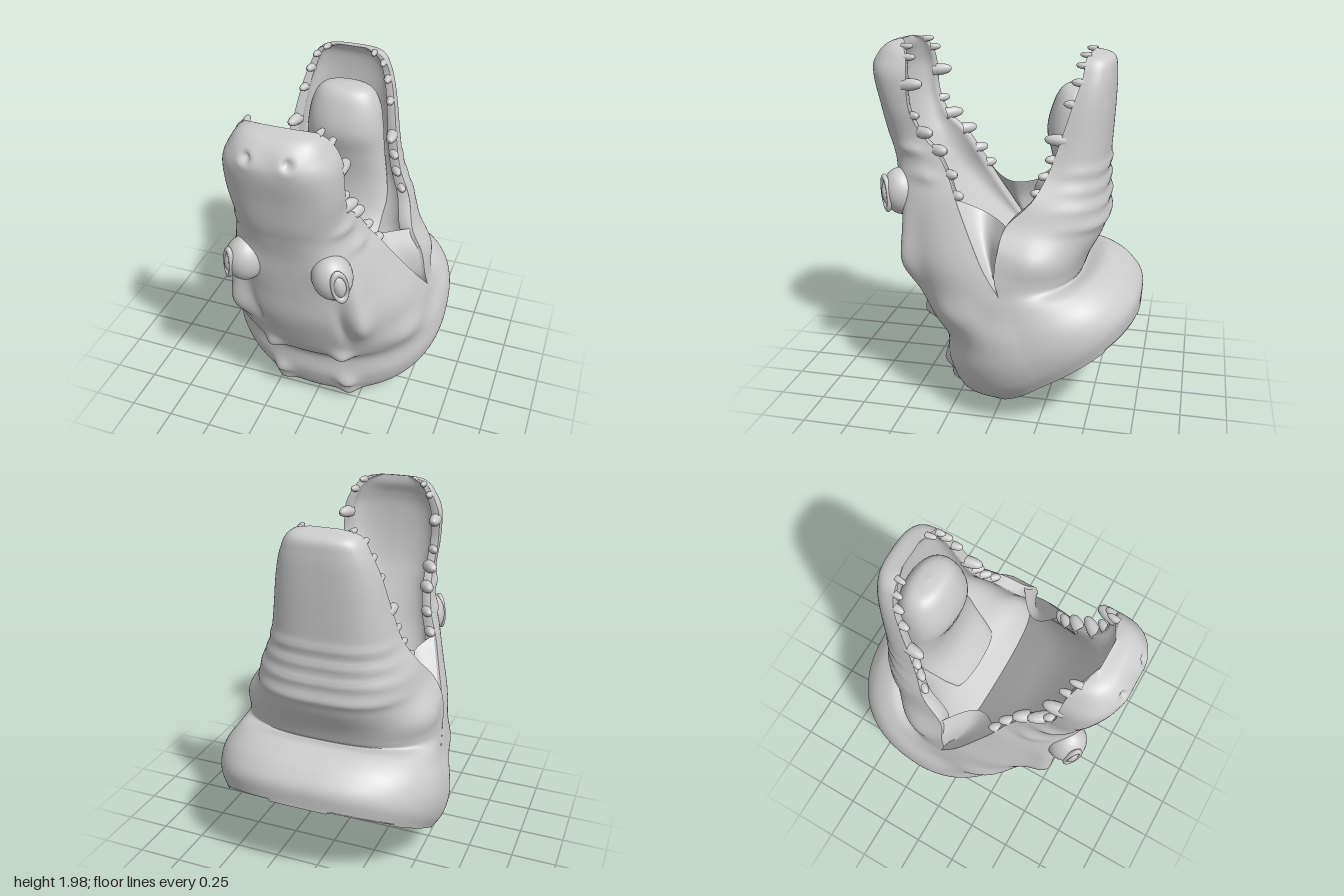
import * as THREE from 'three';

const skin = new THREE.MeshStandardMaterial({ color: 0xcccccc, side: THREE.DoubleSide });
const V = (x, y, z) => new THREE.Vector3(x, y, z);
// the snout leans slightly sideways
const lean = y => -0.045 * THREE.MathUtils.smoothstep(y, 0.6, 1.5);
const spow = (c, e) => Math.sign(c) * Math.abs(c) ** e;

function add(parent, name, geo, x = 0, y = 0, z = 0) {
  const m = new THREE.Mesh(geo, skin);
  m.name = name;
  m.position.set(x, y, z);
  parent.add(m);
  return m;
}

// smooth grid surface, fn(u, v, i, j) returns a point
function grid(nu, nv, fn) {
  const pos = [], idx = [];
  for (let j = 0; j <= nv; j++) for (let i = 0; i <= nu; i++) pos.push(...fn(i / nu, j / nv, i, j).toArray());
  for (let j = 0; j < nv; j++) for (let i = 0; i < nu; i++) {
    const a = j * (nu + 1) + i, b = a + nu + 1;
    idx.push(a, b, a + 1, a + 1, b, b + 1);
  }
  const g = new THREE.BufferGeometry();
  g.setAttribute('position', new THREE.Float32BufferAttribute(pos, 3));
  g.setIndex(idx);
  g.computeVertexNormals();
  return g;
}

// sections: half width, edge z y, outer z y, lining z y (lining stops at the throat)
const upper = [
  [.08, .60, 1.99, .60, 1.99, .60, 1.99], [.185, .56, 1.965, .69, 1.965, .60, 1.94],
  [.245, .53, 1.9, .75, 1.89, .62, 1.88], [.285, .52, 1.8, .765, 1.81, .63, 1.8],
  [.29, .51, 1.65, .73, 1.65, .62, 1.65], [.285, .45, 1.52, .70, 1.5, .59, 1.5],
  [.305, .35, 1.42, .67, 1.4, .55, 1.4], [.34, .28, 1.3, .64, 1.28, .5, 1.3],
  [.39, .23, 1.2, .62, 1.14, .42, 1.15], [.45, .15, 1.05, .60, 1.0, .3, 1.0],
  [.52, .05, .88, .575, .83, .15, .85], [.56, -.05, .75, .52, .67, .02, .72],
  [.585, -.12, .65, .445, .5], [.63, -.17, .54, .355, .385],
  [.645, -.20, .43, .345, .22], [.625, -.24, .34, .27, .06], [.58, -.27, .27, .10, .01]];
const lower = [
  [.08, -.43, 1.95, -.43, 1.95, -.43, 1.95], [.18, -.41, 1.92, -.53, 1.92, -.46, 1.9],
  [.23, -.40, 1.83, -.55, 1.84, -.47, 1.82], [.27, -.36, 1.7, -.55, 1.7, -.47, 1.7],
  [.31, -.30, 1.5, -.54, 1.5, -.47, 1.5], [.35, -.25, 1.35, -.53, 1.3, -.44, 1.32],
  [.42, -.18, 1.22, -.54, 1.1, -.38, 1.15], [.47, -.06, 1.1, -.52, 1.0, -.28, 1.0],
  [.53, -.03, .98, -.46, .88, -.18, .88], [.55, -.02, .85, -.43, .80, -.08, .8],
  [.56, -.05, .75, -.43, .78, .02, .72],
  [.585, -.12, .65, -.53, .81], [.63, -.17, .54, -.62, .78],
  [.645, -.20, .43, -.69, .73], [.625, -.24, .34, -.74, .66], [.58, -.27, .27, -.74, .55]];

// swellings and pits mirrored on the hide: x y z, radii, height
const swellings = [
  [.2, .49, .43, .055, .055, .1, .045], [.2, .2, .33, .055, .05, .1, .04], [.2, .1, .28, .055, .04, .1, .035],
  [.31, 1.02, .5, .05, .14, .12, .035], [.33, .83, .48, .06, .14, .14, .06], [.25, .8, .52, .03, .14, .14, -.025],
  [.5, .6, .2, .2, .09, .16, .035], [.25, 1.2, .6, .1, .12, .12, .03],
  [.34, 1.3, .4, .1, .035, .1, .015], [.3, 1.43, .5, .1, .035, .1, .015],
  [.1, 1.89, .75, .024, .024, .08, -.03], [.1, 1.89, .75, .055, .05, .08, .014]];
// wrinkles and back edge bumps of the throat
const wrinkles = [[.1, 1.36, -.53, .4, .025, .2, .012], [.1, 1.27, -.53, .4, .025, .2, .014],
  [.1, 1.18, -.53, .4, .025, .2, .014], [.1, 1.08, -.53, .4, .03, .2, .014],
  [.45, .92, -.2, .15, .1, .15, .03]];

const spline = pts => new THREE.CatmullRomCurve3(pts, false, 'catmullrom', 0.5);
const edgeOf = rows => spline(rows.map(r => V(r[0], r[2], r[1])));

// outer hide plus mouth lining of one jaw
function jaw(parent, name, rows, e0, e1, bumps, torn) {
  const edge = edgeOf(rows), outer = spline(rows.map(r => V(0, r[4], r[3])));
  const mouth = rows.filter(r => r.length > 5);
  const inEdge = edgeOf(mouth), inner = spline(mouth.map(r => V(0, r[6], r[5])));
  const N = (rows.length - 1) * 9;
  add(parent, name + 'Hide', grid(108, N, (u, v, i, j) => {
    const E = edge.getPoint(v), O = outer.getPoint(v), a = Math.PI * u;
    const e = THREE.MathUtils.lerp(e0, e1, v), s = Math.max(0, Math.sin(a)) ** e;
    const p = E.clone().lerp(O, s), off = lean(p.y), c = spow(Math.cos(a), e);
    const dir = O.sub(E).setX(0).normalize().multiplyScalar(s).setX(c).normalize();
    p.x = E.x * c;
    let h = 0;
    for (const [x, y, z, rx, ry, rz, k] of bumps)
      h += k * Math.exp(-(((Math.abs(p.x) - x) / rx) ** 2) - ((p.y - y) / ry) ** 2 - ((p.z - z) / rz) ** 2);
    p.addScaledVector(dir, h * Math.min(1, s * 3));
    p.x += off;
    // torn rim at the back of the neck
    if (torn && j === N) {
      const k = [0, 0, 0, .04, .09, .02, 0, 0, .05, .09, .03, 0, 0, 0][Math.floor(u * 13.99)];
      p.add(V(0, k, k * .25));
    }
    return p;
  }));
  add(parent, name + 'Lining', grid(42, (mouth.length - 1) * 6, (u, v, i) => {
    const E = inEdge.getPoint(v), I = inner.getPoint(v);
    const rim = i === 0 || i === 42, a = Math.PI * THREE.MathUtils.clamp((i - 1) / 40, 0, 1);
    const p = E.clone().lerp(I, rim ? 0 : Math.max(0, Math.sin(a)) ** 0.7);
    p.x = lean(p.y) + E.x * (rim ? Math.cos(a) : .84 * spow(Math.cos(a), .8));
    return p;
  }));
}

// teeth: [section position, length, radius]
const toothShape = new THREE.LatheGeometry(
  [[1, -.3], [1, .15], [.9, .5], [.65, .82], [.3, .97], [0, 1]].map(p => new THREE.Vector2(...p)), 12);
function teeth(parent, name, rows, list, dz) {
  const edge = edgeOf(rows);
  for (const s of [-1, 1]) for (const [t, len, r] of list) {
    const E = edge.getPoint(t / (rows.length - 1));
    const m = add(parent, name, toothShape, lean(E.y) + s * E.x * .92, E.y, E.z);
    m.scale.set(r, len, r);
    m.quaternion.setFromUnitVectors(V(0, 1, 0), V(s * (t > 4 ? .65 : .15), .1, dz).normalize());
  }
}

export function createModel() {
  const model = new THREE.Group();
  model.name = 'reptileHead';
  const head = new THREE.Group(), under = new THREE.Group();
  head.name = 'upperHead';
  under.name = 'lowerJaw';
  model.add(head, under);

  jaw(head, 'upperJaw', upper, .68, .97, swellings, false);
  jaw(under, 'lowerJaw', lower, .66, .8, wrinkles, true);

  teeth(head, 'upperTooth', upper, [[1.1, .05, .018], [1.9, .05, .02], [3.2, .085, .034], [4.3, .05, .024],
    [5, .085, .034], [5.9, .07, .034], [6.9, .06, .028], [7.9, .05, .028]], -1);
  teeth(under, 'lowerTooth', lower, [[.6, .045, .016], [1.4, .045, .018], [2.2, .05, .022], [3, .05, .022],
    [3.9, .085, .032], [4.5, .05, .024], [5.1, .05, .024], [5.7, .04, .022]], 1);

  // folds of skin joining the jaws at the mouth corners
  const up = edgeOf(upper.slice(8, 12)), low = edgeOf(lower.slice(7, 11));
  for (const s of [-1, 1]) {
    add(model, 'cheekFold', grid(16, 18, (u, v) => {
      const p = up.getPoint(v).lerp(low.getPoint(v), u), b = Math.sin(Math.PI * u);
      p.x = lean(p.y) + s * (p.x * .97 - .11 * b * (1 - v * .8));
      p.y -= .03 * b * (1 - v);
      return p;
    }));
  }

  // tongue: half width, y, front z, back z
  const tongue = [[.0, 1.775, -.35, -.35], [.13, 1.755, -.27, -.43], [.19, 1.67, -.22, -.48],
    [.215, 1.53, -.19, -.49], [.225, 1.38, -.225, -.47], [.24, 1.2, -.25, -.44],
    [.25, 1.02, -.22, -.36], [.2, .85, -.1, -.2]];
  const tf = spline(tongue.map(r => V(r[0], r[1], r[2])));
  const tb = spline(tongue.map(r => V(r[0], r[1], r[3])));
  add(under, 'tongue', grid(32, 36, (u, v) => {
    const f = tf.getPoint(v), b = tb.getPoint(v), a = u * 2 * Math.PI;
    return V(lean(f.y) + f.x * spow(Math.cos(a), .9), f.y,
      (f.z + b.z) / 2 + (f.z - b.z) / 2 * spow(Math.sin(a), .9));
  }));

  // eyes looking outwards between almond lids
  const ball = new THREE.SphereGeometry(1, 28, 18);
  for (const s of [-1, 1]) {
    const eye = new THREE.Group();
    eye.name = 'eye';
    eye.position.set(s * .235 - .03, 1.185, .58);
    eye.rotation.set(0, s * .75, s * .2);
    head.add(eye);
    add(eye, 'eyeSocket', ball).scale.set(.105, .13, .105);
    add(eye, 'eyeball', ball, 0, 0, .06).scale.set(.04, .085, .055);
    add(eye, 'eyelid', new THREE.TorusGeometry(.062, .014, 10, 28), 0, 0, .092).scale.set(.62, 1.4, 1);
  }
  return model;
}
